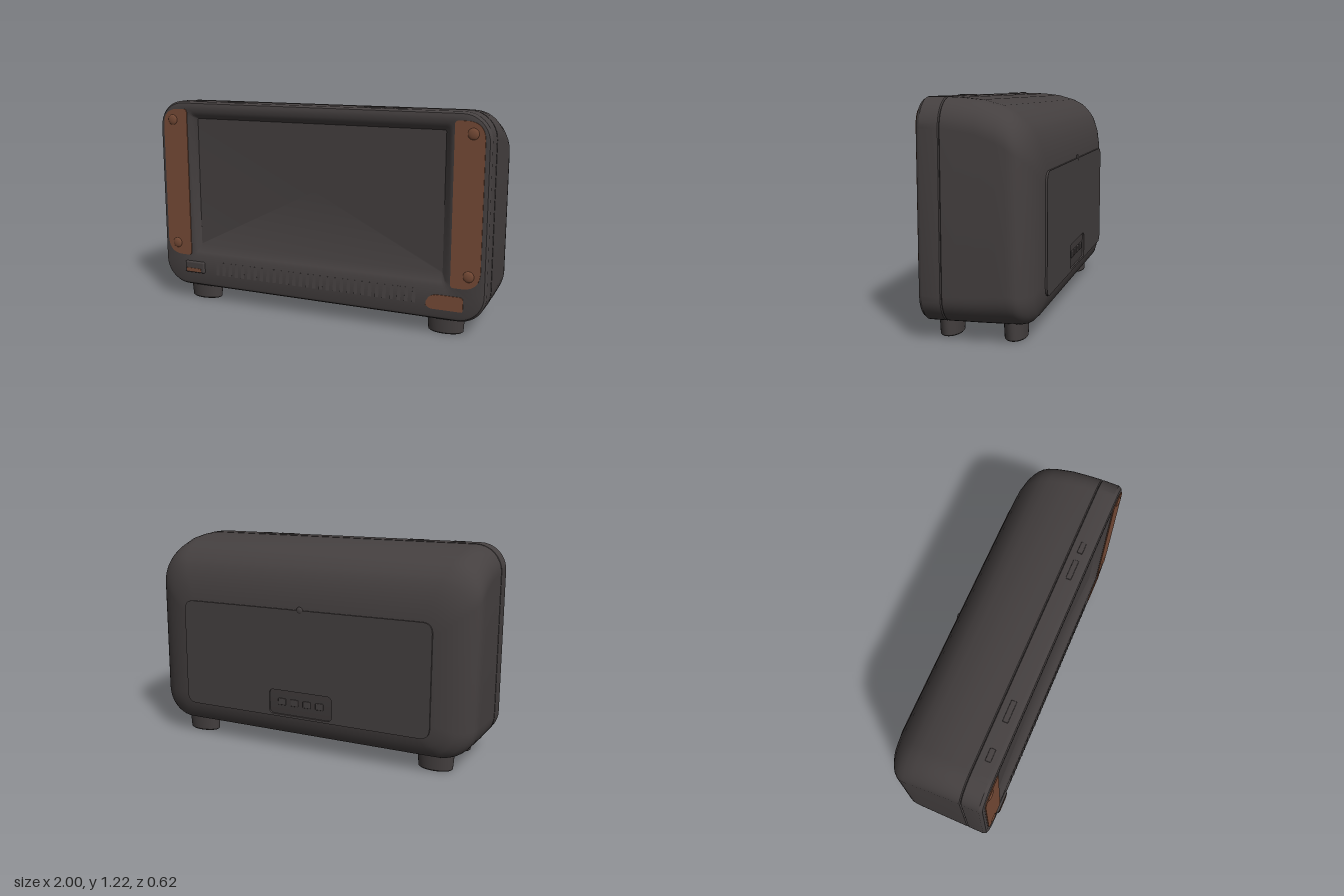
import * as THREE from 'three';
import { toCreasedNormals } from 'three/addons/utils/BufferGeometryUtils.js';
import { RoundedBoxGeometry } from 'three/addons/geometries/RoundedBoxGeometry.js';

const CORNER = 10; // segments per rounded corner

// Points of a rounded rectangle, counter-clockwise seen from +z
function ring(z, hw, bottom, top, r) {
  const pts = [];
  const corners = [[hw - r, top - r], [r - hw, top - r], [r - hw, bottom + r], [hw - r, bottom + r]];
  corners.forEach(([cx, cy], c) => {
    for (let i = 0; i <= CORNER; i++) {
      const a = (c + i / CORNER) * Math.PI / 2;
      pts.push([cx + r * Math.cos(a), cy + r * Math.sin(a), z]);
    }
  });
  return pts;
}

// Skin over sections running from front to back, closed at both ends
function loft(sections) {
  const rings = sections.map((s) => ring(...s));
  const n = rings[0].length, last = rings.length - 1;
  const pos = rings.flat(2), idx = [];
  for (let k = 0; k < last; k++) {
    for (let i = 0; i < n; i++) {
      const j = (i + 1) % n, a = k * n + i, b = k * n + j;
      idx.push(a, a + n, b, b, a + n, b + n);
    }
  }
  [0, last].forEach((k) => {
    const [z, , bottom, top] = sections[k];
    const c = pos.length / 3;
    pos.push(0, (bottom + top) / 2, z);
    for (let i = 0; i < n; i++) {
      const a = k * n + i, b = k * n + (i + 1) % n;
      if (k === 0) idx.push(c, a, b); else idx.push(c, b, a);
    }
  });
  const g = new THREE.BufferGeometry();
  g.setAttribute('position', new THREE.Float32BufferAttribute(pos, 3));
  g.setIndex(idx);
  return toCreasedNormals(g, 0.55);
}

// Rectangle outline with its own radius at each corner: bottom-left, bottom-right, top-right, top-left
function outline(x0, y0, x1, y1, [bl, br, tr, tl], Type = THREE.Shape) {
  const s = new Type();
  s.moveTo(x0 + bl, y0);
  s.lineTo(x1 - br, y0);
  s.quadraticCurveTo(x1, y0, x1, y0 + br);
  s.lineTo(x1, y1 - tr);
  s.quadraticCurveTo(x1, y1, x1 - tr, y1);
  s.lineTo(x0 + tl, y1);
  s.quadraticCurveTo(x0, y1, x0, y1 - tl);
  s.lineTo(x0, y0 + bl);
  s.quadraticCurveTo(x0, y0, x0 + bl, y0);
  return s;
}

export function createModel() {
  const model = new THREE.Group();
  const charcoal = new THREE.MeshStandardMaterial({ color: 0x454040 });
  charcoal.name = 'charcoal';
  const copper = new THREE.MeshStandardMaterial({ color: 0x784c37 });
  copper.name = 'copper';

  const add = (name, geometry, material, x = 0, y = 0, z = 0) => {
    const m = new THREE.Mesh(geometry, material);
    m.name = name;
    m.position.set(x, y, z);
    model.add(m);
    return m;
  };
  const plate = (shape, depth) => new THREE.ExtrudeGeometry(shape, { depth, bevelEnabled: false, curveSegments: 10 });

  // Housing with sunken screen: z, half width, bottom, top, corner radius
  add('housing', loft([
    [0.262, 0.755, 0.345, 1.11, 0.01],
    [0.285, 0.778, 0.30, 1.13, 0.02],
    [0.297, 0.80, 0.28, 1.15, 0.03],
    [0.297, 0.975, 0.115, 1.185, 0.13],
    [0.292, 0.99, 0.10, 1.20, 0.145],
    [0.275, 1, 0.09, 1.21, 0.15],
    [0.18, 1, 0.09, 1.21, 0.15],
    [0.175, 0.995, 0.095, 1.204, 0.146],
    [0.17, 1, 0.09, 1.209, 0.15],
    [0.1, 1, 0.09, 1.206, 0.155],
    [0, 1, 0.09, 1.195, 0.16],
    [-0.1, 1, 0.09, 1.167, 0.17],
    [-0.15, 1, 0.09, 1.143, 0.175],
    [-0.18, 0.996, 0.09, 1.12, 0.175],
    [-0.2, 0.987, 0.09, 1.10, 0.17],
    [-0.22, 0.97, 0.092, 1.078, 0.165],
    [-0.24, 0.945, 0.10, 1.05, 0.155],
    [-0.265, 0.90, 0.125, 0.99, 0.13],
    [-0.28, 0.85, 0.165, 0.93, 0.11],
    [-0.292, 0.79, 0.205, 0.855, 0.08],
  ]), charcoal);

  // Raised back panel with a window for the sockets
  const back = outline(-0.775, 0.212, 0.775, 0.845, [0.06, 0.06, 0.06, 0.06]);
  back.holes.push(outline(-0.2, 0.225, 0.2, 0.37, [0.03, 0.03, 0.03, 0.03], THREE.Path));
  add('backPanel', plate(back, 0.02), charcoal, 0, 0, -0.302);
  for (const x of [-0.12, -0.04, 0.04, 0.12]) {
    add('socket', new RoundedBoxGeometry(0.05, 0.04, 0.012, 2, 0.005), charcoal, x, 0.3, -0.292);
  }
  const knob = add('backButton', new THREE.SphereGeometry(0.02, 16, 10), charcoal, 0, 0.845, -0.298);
  knob.scale.z = 0.4;

  // Copper side strips with round screw heads
  for (const side of [-1, 1]) {
    const r = side < 0 ? [0.1, 0.02, 0.02, 0.1] : [0.02, 0.1, 0.1, 0.02];
    const x0 = side < 0 ? -0.968 : 0.808;
    add('sideStrip', plate(outline(x0, 0.28, x0 + 0.16, 1.165, r), 0.006), copper, 0, 0, 0.296);
    for (const y of [0.35, 1.1]) {
      const screw = add('screwHead', new THREE.SphereGeometry(0.031, 20, 12), copper, side * 0.905, y, 0.3);
      screw.scale.z = 0.3;
    }
  }

  // Speaker grille of slightly tilted slats
  const slat = new THREE.BoxGeometry(0.02, 0.08, 0.008);
  for (let i = 0; i < 30; i++) {
    const m = add('grilleSlat', slat, charcoal, -0.625 + i * 0.0425, 0.212, 0.296);
    m.rotation.set(0, 0.3, -0.08);
  }

  // Switch and copper plate on the lower front
  add('switchBody', new RoundedBoxGeometry(0.135, 0.07, 0.024, 3, 0.01), charcoal, -0.785, 0.207, 0.298);
  add('switchStripe', new THREE.BoxGeometry(0.1, 0.022, 0.004), copper, -0.79, 0.19, 0.3105);
  add('copperPlate', plate(outline(0.675, 0.15, 0.88, 0.232, [0.04, 0.01, 0.02, 0.07]), 0.005), copper, 0, 0, 0.296);

  // Low buttons on the top edge
  for (const [x, w] of [[-0.74, 0.07], [-0.5, 0.12], [0.35, 0.12], [0.49, 0.07]]) {
    add('topButton', new RoundedBoxGeometry(w, 0.01, 0.03, 2, 0.004), charcoal, x, 1.21, 0.23);
  }

  // Four oval feet
  const foot = new THREE.LatheGeometry([[0, 0], [0.09, 0], [0.098, 0.006], [0.108, 0.13]]
    .map(([x, y]) => new THREE.Vector2(x, y)), 32);
  for (const x of [-0.765, 0.765]) {
    for (const z of [0.2, -0.142]) {
      add('foot', toCreasedNormals(foot, 0.6), charcoal, x, 0, z).scale.z = 0.58;
    }
  }
  return model;
}
